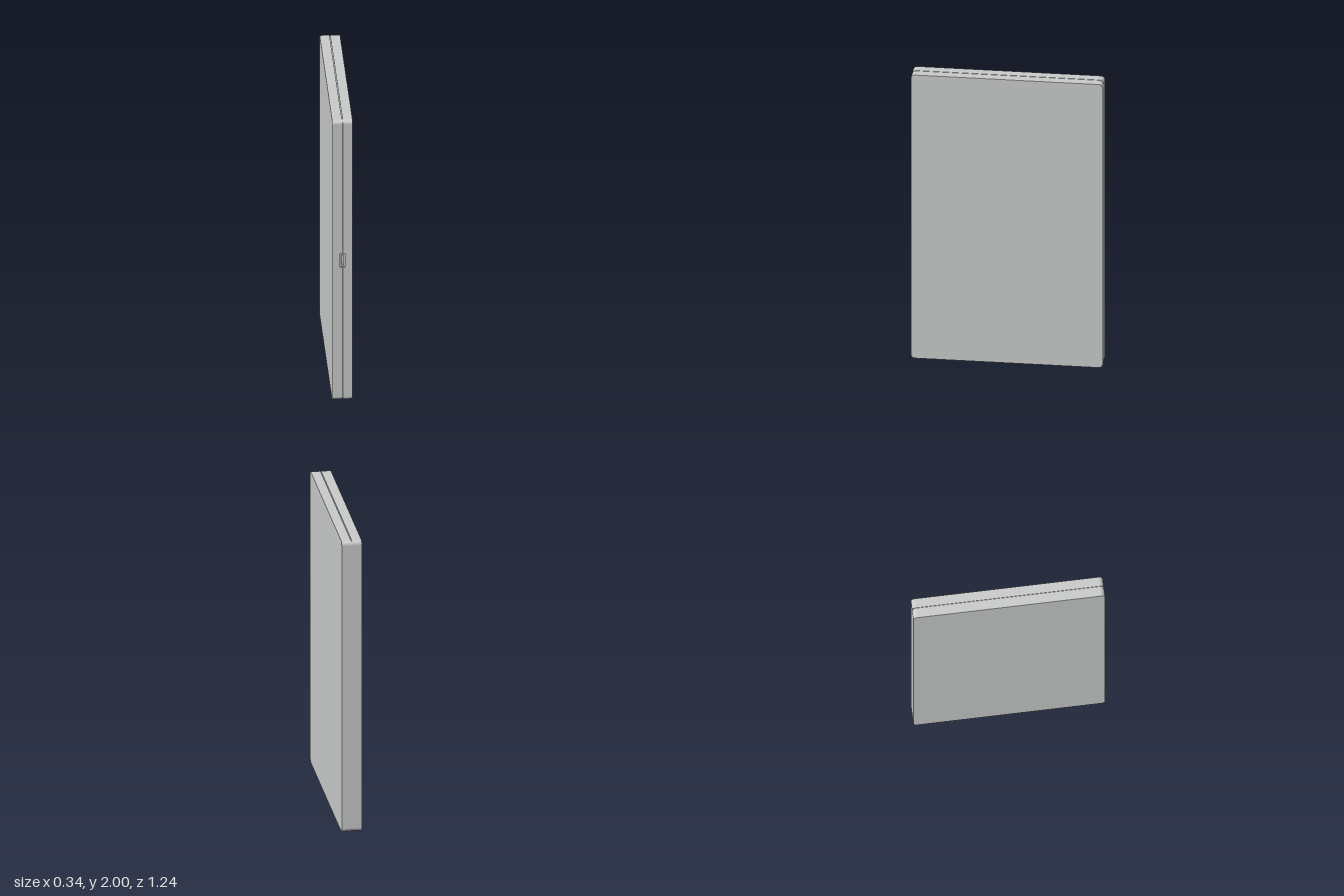
import * as THREE from 'three';

const L = 1.233, H = 2, T = 0.13, R = 0.028;   // length, height, thickness, corner radius
const NOTCH = { y0: 0.95, y1: 1.05, depth: 0.014, half: 0.016 };
const GAP = 0.0025;

// Rounded outline of the case; its front edge lies at -x and may carry the latch notch.
function outline(inset, notched) {
  const x = L / 2 - inset, y0 = inset, y1 = H - inset, r = R - inset;
  const s = new THREE.Shape();
  s.moveTo(-x + r, y0);
  s.lineTo(x - r, y0);
  s.absarc(x - r, y0 + r, r, -Math.PI / 2, 0);
  s.lineTo(x, y1 - r);
  s.absarc(x - r, y1 - r, r, 0, Math.PI / 2);
  s.lineTo(-x + r, y1);
  s.absarc(-x + r, y1 - r, r, Math.PI / 2, Math.PI);
  if (notched) {
    const deep = -L / 2 + NOTCH.depth;
    s.lineTo(-x, NOTCH.y1);
    s.lineTo(deep, NOTCH.y1);
    s.lineTo(deep, NOTCH.y0);
    s.lineTo(-x, NOTCH.y0);
  }
  s.lineTo(-x, y0 + r);
  s.absarc(-x + r, y0 + r, r, Math.PI, Math.PI * 1.5);
  return s;
}

// Slab between two x positions, standing in the local yz plane with its front at +z.
function slab(name, x0, x1, inset, notched, material) {
  const g = new THREE.ExtrudeGeometry(outline(inset, notched), {
    depth: x1 - x0, bevelEnabled: false, curveSegments: 8,
  });
  g.rotateY(Math.PI / 2);
  g.translate(x0, 0, 0);
  const m = new THREE.Mesh(g, material);
  m.name = name;
  return m;
}

function box(name, w, h, d, x, y, z, material) {
  const m = new THREE.Mesh(new THREE.BoxGeometry(w, h, d), material);
  m.name = name;
  m.position.set(x, y, z);
  return m;
}

export function createModel() {
  const shell = new THREE.MeshStandardMaterial({ color: 0xc9cbca });
  shell.name = 'light grey';

  const model = new THREE.Group();
  model.name = 'slimCase';
  const body = new THREE.Group();
  body.name = 'caseBody';
  body.rotation.y = THREE.MathUtils.degToRad(10);
  model.add(body);

  // Two mirrored halves, each a full outer shell and a notched inner rim
  for (const [name, s] of [['left', 1], ['right', -1]]) {
    const half = new THREE.Group();
    half.name = name + 'Half';
    const layer = (part, a, b, notched) =>
      half.add(slab(part, Math.min(s * a, s * b), Math.max(s * a, s * b), 0, notched, shell));
    layer(name + 'Shell', NOTCH.half, T / 2, false);
    layer(name + 'Rim', GAP, NOTCH.half, true);
    body.add(half);
  }

  // Recessed core at the bottom of the seam
  body.add(slab('seamCore', -GAP, GAP, 0.006, true, shell));

  // Spine closing the seam along the back
  body.add(box('spine', GAP * 2, H - 2 * R, 0.01, 0, H / 2, -L / 2 + 0.005, shell));

  // Latch in the front notch: raised tab with a round button below
  const front = L / 2;
  body.add(box('latchTab', 0.014, 0.06, 0.01, 0, 1.008, front - 0.009, shell));
  const button = new THREE.Mesh(new THREE.CylinderGeometry(0.008, 0.008, 0.012, 16), shell);
  button.name = 'latchButton';
  button.rotation.x = Math.PI / 2;
  button.position.set(0, 0.964, front - 0.008);
  body.add(button);

  return model;
}
